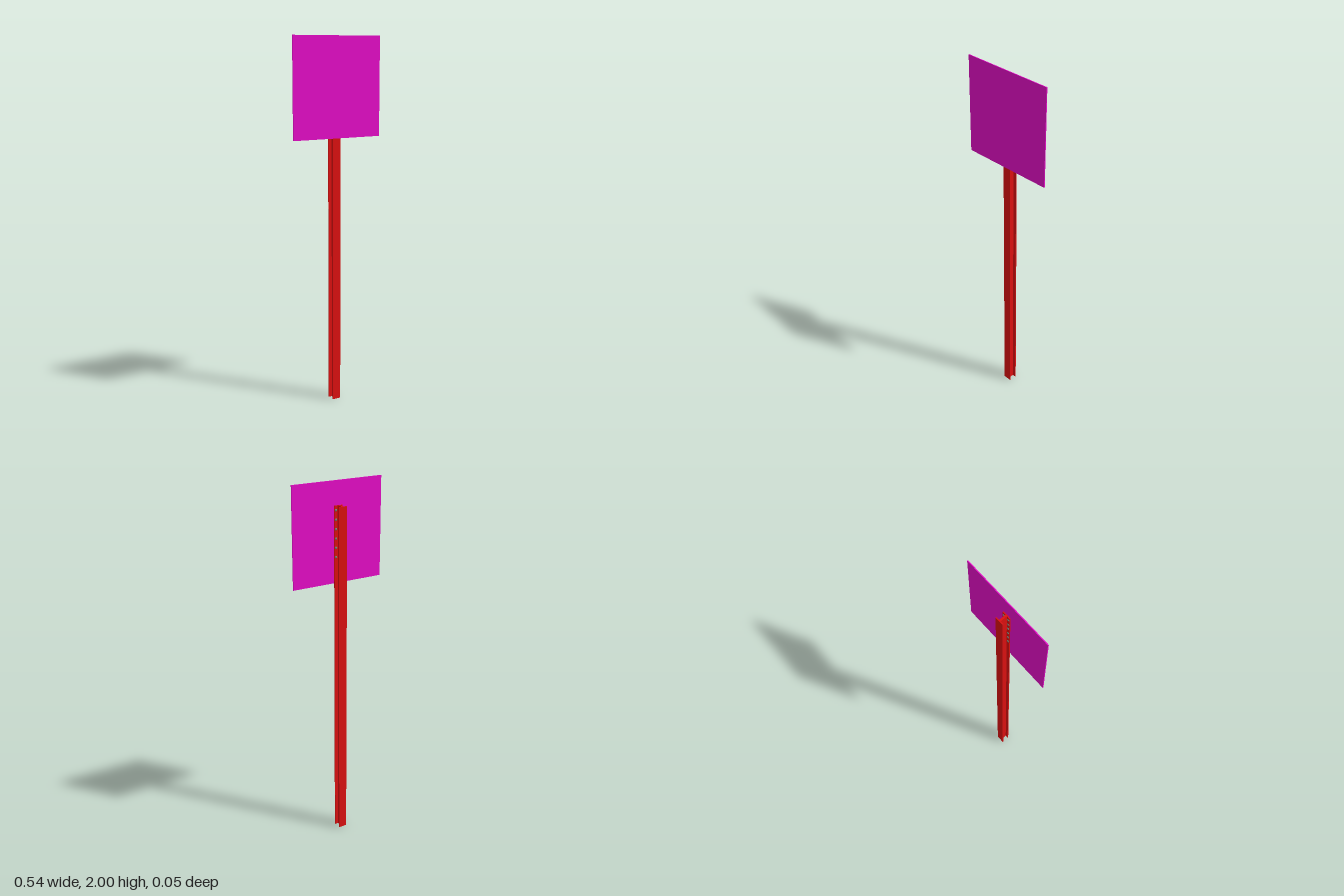
import * as THREE from 'three';

export function createModel() {
  const group = new THREE.Group();
  const red = new THREE.MeshStandardMaterial({ color: 0xdd1111 });
  const magenta = new THREE.MeshStandardMaterial({ color: 0xe60dc8 });
  const steel = new THREE.MeshStandardMaterial({ color: 0x75857a });

  const add = (name, geometry, material, x, y, z) => {
    const mesh = new THREE.Mesh(geometry, material);
    mesh.name = name;
    mesh.position.set(x, y, z);
    group.add(mesh);
    return mesh;
  };

  // I-beam post, extruded upwards from its cross-section
  const postX = -0.002, height = 1.873;
  const w = 0.024, web = 0.005, back = -0.0265, front = 0.021, t = 0.005;
  const half = [[w, back], [w, back + t], [web, back + t], [web, front - t], [w, front - t], [w, front]];
  const outline = [...half, ...half.map(([x, z]) => [-x, z]).reverse()];
  // Shape y becomes -z once the extrusion is stood upright
  const section = new THREE.Shape(outline.map(([x, z]) => new THREE.Vector2(x, -z)));
  const beam = new THREE.ExtrudeGeometry(section, { depth: height, bevelEnabled: false });
  beam.rotateX(-Math.PI / 2);
  add('post', beam, red, postX, 0, 0);

  // Square sign panel on the front flange
  add('signPanel', new THREE.BoxGeometry(0.538, 0.535, 0.005), magenta, 0, 1.7325, 0.0235);

  // Two columns of domed bolt heads on the rear of the front flange
  const bolt = new THREE.SphereGeometry(0.007, 16, 6, 0, Math.PI * 2, 0, Math.PI / 2);
  bolt.scale(1, 0.6, 1);
  bolt.rotateX(-Math.PI / 2);
  for (const side of [-1, 1]) {
    for (let i = 0; i < 6; i++) {
      add('bolt', bolt, steel, postX + side * 0.0155, 1.85 - i * 0.049, front - t);
    }
  }
  return group;
}
